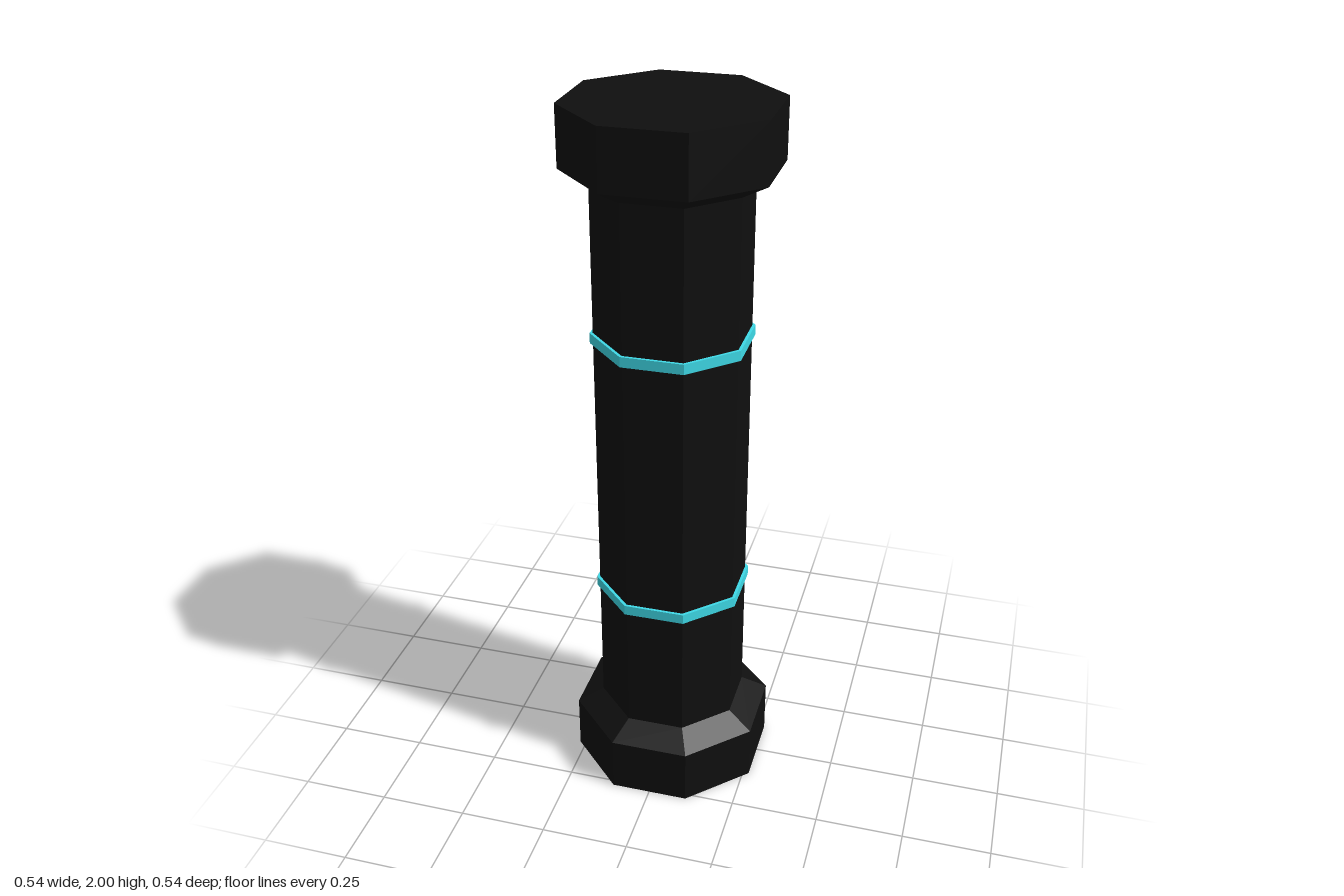
import * as THREE from 'three';

const SIDES = 8;
const toCorner = 1 / Math.cos(Math.PI / SIDES); // flat-to-flat radius -> corner radius

export function createModel() {
  const black = new THREE.MeshStandardMaterial({ color: 0x0f0f0f, flatShading: true });
  black.name = 'black';
  const cyan = new THREE.MeshStandardMaterial({ color: 0x3fdcea, flatShading: true });
  cyan.name = 'cyan';

  const model = new THREE.Group();
  model.name = 'column';

  // Octagonal prism or frustum with flat sides facing the axes
  const octagon = (name, material, bottomR, topR, y0, y1, open = false) => {
    const geometry = new THREE.CylinderGeometry(
      topR * toCorner, bottomR * toCorner, y1 - y0, SIDES, 1, open);
    geometry.rotateY(Math.PI / SIDES);
    geometry.translate(0, (y0 + y1) / 2, 0);
    const mesh = new THREE.Mesh(geometry, material);
    mesh.name = name;
    model.add(mesh);
  };

  const endR = 0.268, shaftR = 0.197, ringR = 0.205;
  const endH = 0.163, bevelTop = 0.205;

  // Base block with a bevel up to the shaft
  octagon('base', black, endR, endR, 0, endH);
  octagon('baseBevel', black, endR, shaftR, endH, bevelTop, true);

  // Shaft
  octagon('shaft', black, shaftR, shaftR, bevelTop, 2 - bevelTop, true);

  // Capital, mirrored from the base
  octagon('capitalBevel', black, shaftR, endR, 2 - bevelTop, 2 - endH, true);
  octagon('capital', black, endR, endR, 2 - endH, 2);

  // Glowing bands around the shaft
  octagon('lowerBand', cyan, ringR, ringR, 0.587, 0.616);
  octagon('upperBand', cyan, ringR, ringR, 1.36, 1.389);

  return model;
}
